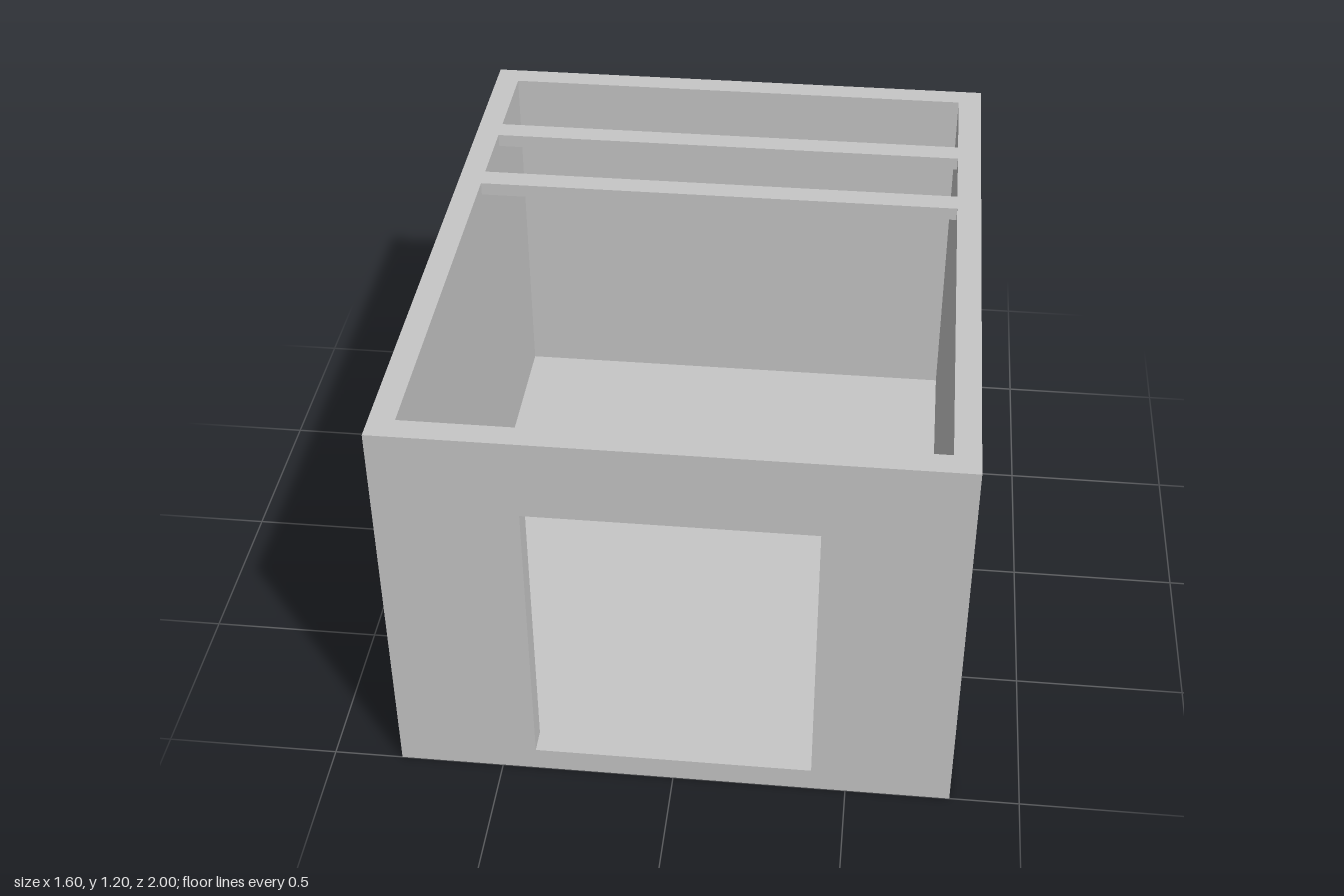
import * as THREE from 'three';

export function createModel() {
  const model = new THREE.Group();
  const grey = new THREE.MeshStandardMaterial({ color: 0xc6c6c6 });
  grey.name = 'plain grey';

  const W = 0.8, D = 1, H = 1.2; // half width, half depth, height
  const T = 0.072;               // wall and floor thickness
  const DOOR = 0.4;              // half width of the doorway

  function add(name, geometry) {
    const mesh = new THREE.Mesh(geometry, grey);
    mesh.name = name;
    model.add(mesh);
    return mesh;
  }

  // box given by its lower and upper corner
  function box(name, [x0, y0, z0], [x1, y1, z1]) {
    const mesh = add(name, new THREE.BoxGeometry(x1 - x0, y1 - y0, z1 - z0));
    mesh.position.set((x0 + x1) / 2, (y0 + y1) / 2, (z0 + z1) / 2);
  }

  box('floor', [-W, 0, -D], [W, T, D]);
  box('backWall', [-W, T, -D], [W, H, -D + T]);
  box('doorHeader', [-DOOR, 0.96, D - T], [DOOR, H, D]);

  // side walls, each turning the front corner up to the doorway
  for (const [side, name] of [[1, 'leftWall'], [-1, 'rightWall']]) {
    const plan = [
      [W, D - T], [W, -D], [DOOR, -D], [DOOR, -D + T], [W - T, -D + T], [W - T, D - T],
    ].map(([x, y]) => new THREE.Vector2(x * side, y));
    const geometry = new THREE.ExtrudeGeometry(new THREE.Shape(plan), { depth: H - T, bevelEnabled: false });
    geometry.rotateX(-Math.PI / 2);
    add(name, geometry).position.y = T;
  }

  // cross beams flush with the wall tops
  [-0.305, -0.602].forEach((z, i) => {
    box('crossBeam' + (i + 1), [-W + T, H - 0.04, z - 0.035], [W - T, H, z + 0.035]);
  });

  return model;
}
